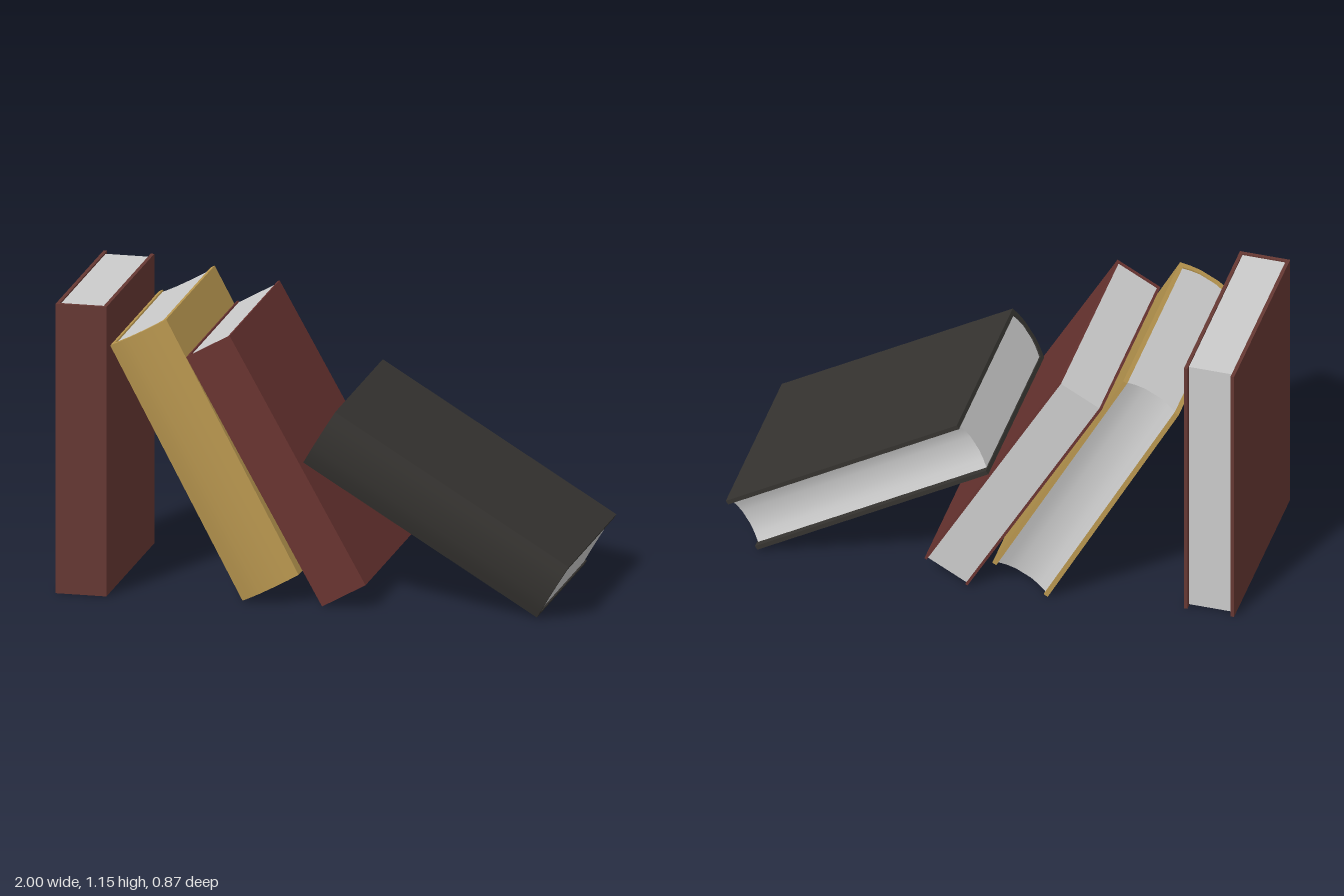
import * as THREE from 'three';
import { toCreasedNormals } from 'three/addons/utils/BufferGeometryUtils.js';

const paper = new THREE.MeshStandardMaterial({ color: 0xcccccc });

// Points across a book's thickness from x0 to x1, swelling by `bulge` towards the spine
function arc(x0, x1, z, bulge) {
  if (!bulge) return [[x0, z], [x1, z]];
  return [0, 0.16, 0.34, 0.66, 0.84, 1].map((f, i) =>
    [x0 + (x1 - x0) * f, z + bulge * [0, 0.6, 1, 1, 0.6, 0][i]]);
}

// Extrude an outline given as [x, z] pairs upwards along y
function prism(points, height, y) {
  const shape = new THREE.Shape(points.map(([x, z]) => new THREE.Vector2(x, -z)));
  const geo = new THREE.ExtrudeGeometry(shape, { depth: height, bevelEnabled: false });
  geo.rotateX(-Math.PI / 2).translate(0, y, 0);
  return toCreasedNormals(geo, 0.5);
}

function book({ name, x, tilt, w, h, spine, back, bulge, board, inset, color }) {
  const group = new THREE.Group();
  group.name = name;
  const inner = arc(board, w - board, spine - board, bulge);

  // Cover: two boards joined by the spine
  const cover = new THREE.Mesh(
    prism([
      ...arc(0, w, spine, bulge),
      [w, back], [w - board, back],
      ...inner.slice().reverse(),
      [board, back], [0, back],
    ], h, 0),
    new THREE.MeshStandardMaterial({ color }));
  cover.name = 'cover';

  // Page block: its fore-edge is hollowed to match the spine
  const pages = new THREE.Mesh(
    prism([...inner, ...arc(board, w - board, back + inset, bulge).reverse()], h - 0.012, 0.006),
    paper);
  pages.name = 'pages';

  group.add(cover, pages);
  // Each book pivots on its lower left corner
  group.position.x = x;
  group.rotation.z = THREE.MathUtils.degToRad(tilt);
  return group;
}

export function createModel() {
  const model = new THREE.Group();
  model.name = 'leaningBooks';
  const books = [
    { name: 'uprightBook', x: -1, tilt: 0, w: 0.2, h: 1.15, spine: 0.435, back: -0.34,
      bulge: 0, board: 0.014, inset: 0.023, color: 0x663833 },
    { name: 'goldBook', x: -0.28, tilt: 28, w: 0.25, h: 1.11, spine: 0.37, back: -0.415,
      bulge: 0.025, board: 0.018, inset: 0.013, color: 0xb8964f },
    { name: 'redBook', x: 0.035, tilt: 29.25, w: 0.196, h: 1.095, spine: 0.378, back: -0.432,
      bulge: 0, board: 0.01, inset: 0.007, color: 0x6a3431 },
    { name: 'blackBook', x: 0.87, tilt: 58.9, w: 0.243, h: 1.074, spine: 0.335, back: -0.437,
      bulge: 0.024, board: 0.018, inset: 0.025, color: 0x353330 },
  ];
  for (const b of books) model.add(book(b));
  return model;
}
